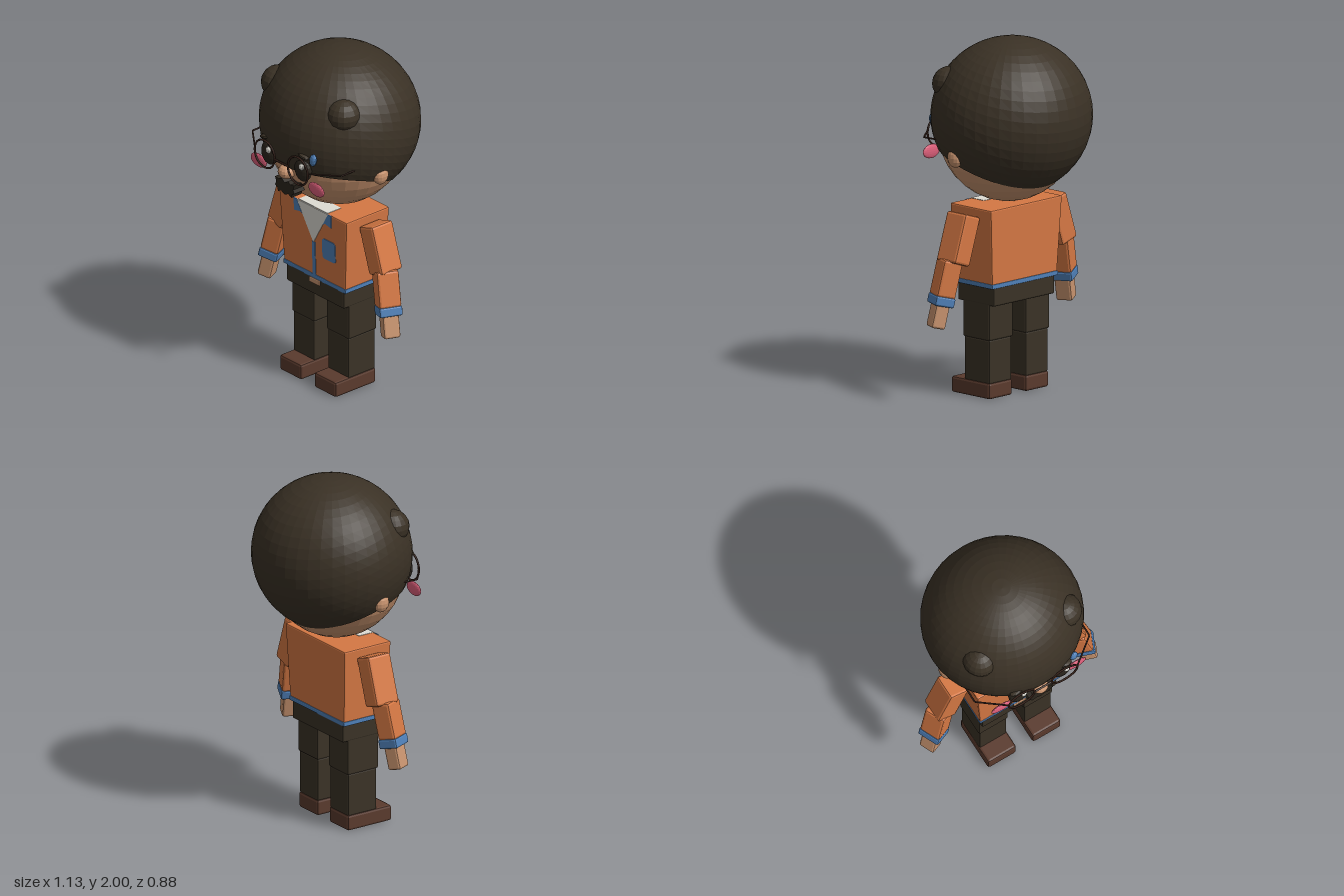
import * as THREE from 'three';
import { RoundedBoxGeometry } from 'three/addons/geometries/RoundedBoxGeometry.js';

const paint = (name, color) => {
  const m = new THREE.MeshStandardMaterial({ color });
  m.name = name;
  return m;
};

export function createModel() {
  const root = new THREE.Group();
  root.name = 'figure';
  const hairMat = paint('hair', 0x3a3125);
  const skinMat = paint('skin', 0xc9946f);
  const orange = paint('jacket orange', 0xd57844);
  const blue = paint('trim blue', 0x4f80b8);
  const white = paint('shirt white', 0xdedcd4);
  const trouserMat = paint('trousers', 0x3a3226);
  const shoeMat = paint('shoe brown', 0x5a3a2d);
  const pink = paint('cheek pink', 0xdc5f7a);
  const eyeMat = paint('eye dark', 0x2b251d);
  const frameMat = paint('frame brown', 0x38231b);

  const flat = (geo) => {
    const g = geo.index ? geo.toNonIndexed() : geo;
    g.computeVertexNormals();
    return g;
  };
  const add = (parent, name, geo, mat, x = 0, y = 0, z = 0) => {
    const m = new THREE.Mesh(geo, mat);
    m.name = name;
    m.position.set(x, y, z);
    parent.add(m);
    return m;
  };
  const ball = (parent, name, mat, [x, y, z], [rx, ry, rz], n = 16) =>
    add(parent, name, flat(new THREE.SphereGeometry(1, n, n * 0.6).scale(rx, ry, rz)), mat, x, y, z);
  // bevelled box whose width and depth grow by the factors tx, tz at the top
  const block = (parent, name, mat, [x, y, z], [w, h, d], r = 0.01, tx = 1, tz = 1) => {
    const g = new RoundedBoxGeometry(w, h, d, 1, r);
    const p = g.attributes.position;
    for (let i = 0; i < p.count; i++) {
      const t = p.getY(i) / h + 0.5;
      p.setX(i, p.getX(i) * (1 + (tx - 1) * t));
      p.setZ(i, p.getZ(i) * (1 + (tz - 1) * t));
    }
    return add(parent, name, flat(g), mat, x, y, z);
  };
  const rod = (parent, name, mat, a, b, r) => {
    const path = new THREE.LineCurve3(new THREE.Vector3(...a), new THREE.Vector3(...b));
    return add(parent, name, new THREE.TubeGeometry(path, 1, r, 6), mat);
  };
  const plate = (parent, name, mat, pts, z, depth = 0.004) => {
    const shape = new THREE.Shape(pts.map(([x, y]) => new THREE.Vector2(x, y)));
    return add(parent, name, new THREE.ExtrudeGeometry(shape, { depth, bevelEnabled: false }), mat, 0, 0, z);
  };

  // Head
  const head = new THREE.Group();
  head.name = 'head';
  root.add(head);
  ball(head, 'face', skinMat, [0, 1.5, 0.02], [0.41, 0.42, 0.385], 30);

  // Hair cap: a dome whose lower edge follows a hairline dropping to the nape
  const hairline = (z) => 1.4 + 0.209 * (z - 0.385) - 0.438 * (z - 0.385) * (z - 0.05);
  const R = 0.44;
  const cap = new THREE.SphereGeometry(1, 40, 20, 0, Math.PI * 2, 0, 3);
  const pos = cap.attributes.position;
  const uv = cap.attributes.uv;
  for (let i = 0; i < pos.count; i++) {
    const a = uv.getX(i) * Math.PI * 2;
    const v = 1 - uv.getY(i);
    let lo = -Math.PI / 2, hi = 0;
    for (let k = 0; k < 25; k++) {
      const mid = (lo + hi) / 2;
      if (1.56 + R * Math.sin(mid) > hairline(R * Math.cos(mid) * Math.sin(a))) hi = mid;
      else lo = mid;
    }
    const e = THREE.MathUtils.lerp(Math.PI / 2, hi, Math.min(v / 0.95, 1));
    const s = v > 0.99 ? 0.9 : 1;
    pos.setXYZ(i, -0.455 * s * Math.cos(e) * Math.cos(a), R * (v > 0.99 ? 0.97 : 1) * Math.sin(e),
      R * s * Math.cos(e) * Math.sin(a));
  }
  add(head, 'hair', flat(cap), hairMat, 0, 1.56, 0);

  // Glasses bridge
  rod(head, 'glassesBridge', frameMat, [-0.055, 1.425, 0.43], [0.055, 1.425, 0.43], 0.006);
  ball(head, 'nose', skinMat, [0, 1.36, 0.39], [0.05, 0.042, 0.05], 14);

  // Moustache with ragged drooping ends
  const half = [[0, 1.295], [0.025, 1.312], [0.05, 1.3], [0.08, 1.305], [0.07, 1.275], [0.08, 1.255],
    [0.062, 1.245], [0.055, 1.222], [0.03, 1.235], [0, 1.222]];
  const outline = [...half, ...half.slice(1, -1).reverse().map(([x, y]) => [-x, y])].reverse();
  plate(head, 'moustache', eyeMat, outline, 0.33, 0.075);

  const drop = ball(head, 'hairPin', blue, [0.22, 1.51, 0.39], [0.024, 0.038, 0.018], 12);
  drop.rotation.z = -0.25;

  // Jacket
  const torso = new THREE.Group();
  torso.name = 'torso';
  root.add(torso);
  block(torso, 'jacket', orange, [0, 0.866, 0.0425], [0.512, 0.428, 0.286], 0.008, 1.1, 1.1);
  block(torso, 'jacketHem', blue, [0, 0.645, 0.0425], [0.518, 0.026, 0.292], 0.004);
  const front = new THREE.Group();
  front.name = 'jacketFront';
  front.position.set(0, 0.652, 0.1855);
  front.rotation.x = 0.0333;
  torso.add(front);
  const top = 0.427;
  plate(front, 'shirt', white, [[-0.13, top], [0, 0.205], [0.13, top]], -0.001);
  plate(front, 'zip', blue, [[-0.013, 0], [0.013, 0], [0.013, 0.21], [-0.013, 0.21]], -0.001);
  plate(front, 'pocket', blue, [[0.085, 0.138], [0.17, 0.138], [0.182, 0.15], [0.182, 0.25],
    [0.17, 0.262], [0.085, 0.262], [0.073, 0.25], [0.073, 0.15]], -0.001);
  add(torso, 'shirtTop', new THREE.BoxGeometry(0.24, 0.006, 0.1), white, 0, 1.079, 0.147);
  block(torso, 'buckle', skinMat, [0, 0.616, 0.17], [0.08, 0.036, 0.04], 0.006);
  block(root, 'hips', trouserMat, [0, 0.585, 0.0425], [0.48, 0.11, 0.28], 0.01);

  for (const s of [-1, 1]) {
    const side = s > 0 ? 'left' : 'right';

    // Face details
    ball(head, side + 'Ear', skinMat, [s * 0.395, 1.375, 0.05], [0.038, 0.056, 0.048], 14);
    ball(head, side + 'HairTuft', hairMat, [s * 0.27, 1.75, 0.21], [0.1, 0.095, 0.1], 18);
    ball(head, side + 'Eye', eyeMat, [s * 0.138, 1.428, 0.39], [0.06, 0.075, 0.038], 18);
    ball(head, side + 'EyeGlint', white, [s * 0.138 + 0.02, 1.456, 0.42], [0.018, 0.02, 0.012], 10);
    const brow = ball(head, side + 'Brow', hairMat, [s * 0.16, 1.52, 0.405], [0.04, 0.012, 0.025], 10);
    brow.rotation.z = -s * 0.2;
    ball(head, side + 'Cheek', pink, [s * 0.24, 1.335, 0.383], [0.066, 0.04, 0.013], 18);
    add(head, side + 'Rim', new THREE.TorusGeometry(0.083, 0.006, 6, 28), frameMat, s * 0.138, 1.428, 0.43);
    const arm = [[0.22, 1.44, 0.43], [0.37, 1.445, 0.315], [0.37, 1.45, 0.1]].map(([x, y, z]) => [s * x, y, z]);
    rod(head, side + 'TempleHinge', frameMat, arm[0], arm[1], 0.005);
    rod(head, side + 'Temple', frameMat, arm[1], arm[2], 0.005);

    // Collar flap
    const flap = [[0.13, top], [0.085, 0.35], [0.105, 0.36], [0.155, 0.35], [0.155, top]];
    const pts = flap.map(([x, y]) => [s * x, y]);
    plate(front, side + 'Collar', blue, s > 0 ? pts : pts.reverse(), -0.001, 0.005);

    // Arm
    const upper = block(root, side + 'UpperArm', orange, [s * 0.382, 0.918, 0.038], [0.122, 0.28, 0.15], 0.014);
    upper.rotation.z = s * 0.32;
    const lower = new THREE.Group();
    lower.name = side + 'Forearm';
    lower.position.set(s * 0.462, 0.68, 0.062);
    lower.rotation.set(-0.08, -s * 0.42, s * 0.22, 'ZXY');
    root.add(lower);
    block(lower, side + 'Sleeve', orange, [0, 0.026, 0], [0.112, 0.21, 0.128], 0.014);
    block(lower, side + 'Cuff', blue, [0, -0.1, 0], [0.116, 0.056, 0.132], 0.01);
    block(lower, side + 'Hand', skinMat, [0, -0.18, 0], [0.082, 0.15, 0.095], 0.012);

    // Leg
    const x = s * 0.144;
    block(root, side + 'Thigh', trouserMat, [x, 0.445, 0.0425], [0.188, 0.23, 0.206], 0.01);
    block(root, side + 'Shin', trouserMat, [x, 0.21, 0.0425], [0.174, 0.25, 0.194], 0.01);
    block(root, side + 'Shoe', shoeMat, [x, 0.046, 0.09], [0.182, 0.092, 0.296], 0.014);
  }
  return root;
}
